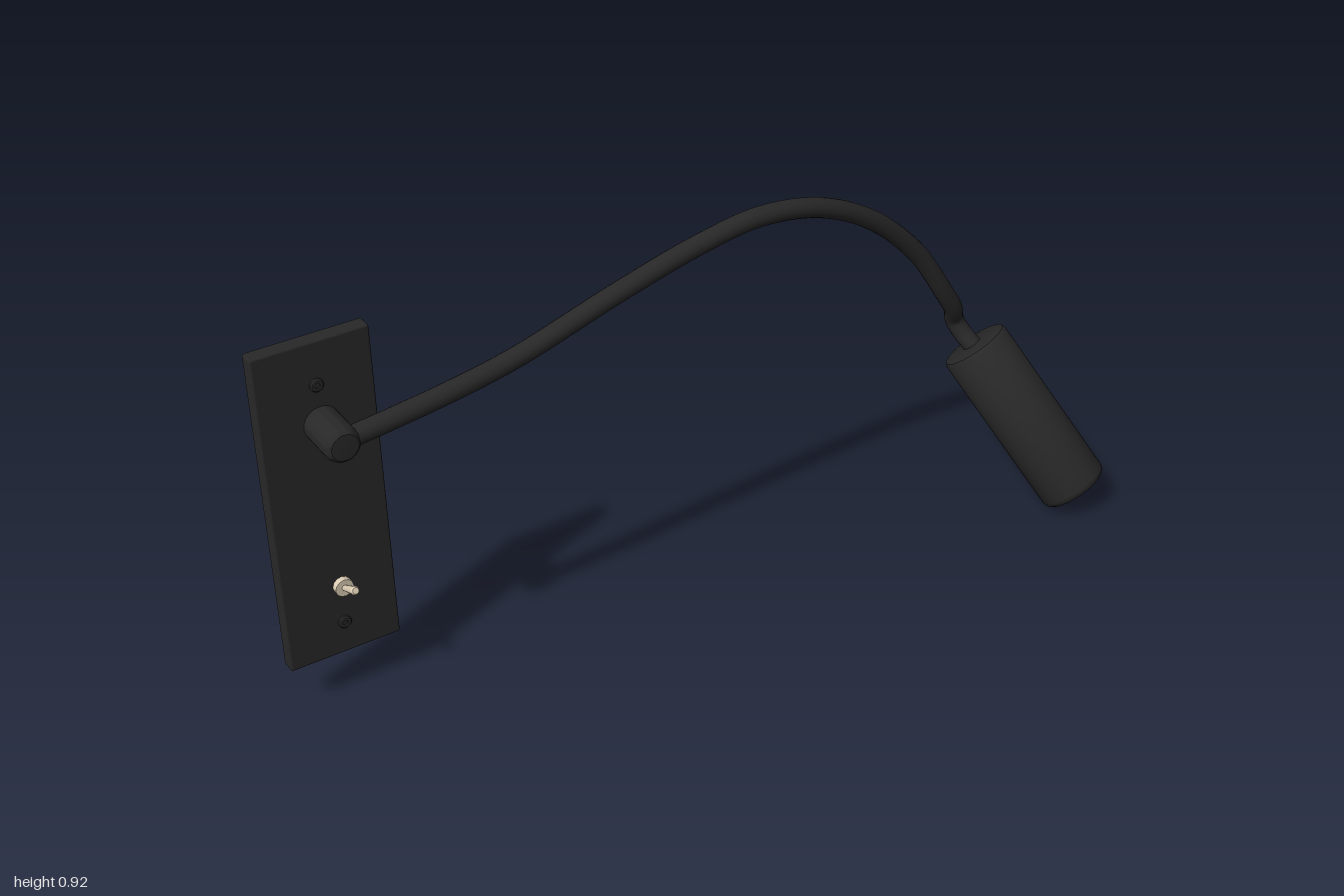
import * as THREE from 'three';
import { RoundedBoxGeometry } from 'three/addons/geometries/RoundedBoxGeometry.js';
import { toCreasedNormals } from 'three/addons/utils/BufferGeometryUtils.js';

const mat = (name, color) => {
  const m = new THREE.MeshStandardMaterial({ color });
  m.name = name;
  return m;
};
const v = (x, y, z) => new THREE.Vector3(x, y, z);

export function createModel() {
  const group = new THREE.Group();
  const black = mat('matte black', 0x282828);
  const metal = mat('warm nickel', 0xdccdb4);
  const glass = mat('lens cream', 0xdccba4);

  const add = (name, geometry, material) => {
    const mesh = new THREE.Mesh(geometry, material);
    mesh.name = name;
    group.add(mesh);
    return mesh;
  };

  // Lathe a profile of [radius, distance] pairs along the line from a towards b
  const turned = (name, profile, a, b, material, sides = 40) => {
    const pts = profile.map(([r, h]) => new THREE.Vector2(r, h));
    const geometry = toCreasedNormals(new THREE.LatheGeometry(pts, sides), 0.6);
    const mesh = add(name, geometry, material);
    mesh.position.copy(a);
    mesh.quaternion.setFromUnitVectors(v(0, 1, 0), b.clone().sub(a).normalize());
    return mesh;
  };

  // Wall plate
  const plate = add('wallPlate', new RoundedBoxGeometry(0.258, 0.777, 0.037, 2, 0.005), black);
  plate.position.set(-0.871, 0.503, -0.2);

  // Plate screws
  for (const y of [0.793, 0.196]) {
    turned('plateScrew', [[0.015, 0], [0.015, 0.007], [0.012, 0.01], [0.006, 0.01], [0.006, 0.006], [0, 0.006]],
      v(-0.868, y, -0.184), v(-0.868, y, 0), black, 20);
  }

  // Post carrying the arm, with a chamfered end
  turned('armPost', [[0.04, 0], [0.04, 0.094], [0.037, 0.104], [0.03, 0.111], [0, 0.113]],
    v(-0.865, 0.7, -0.184), v(-0.865, 0.7, 0), black);

  // Curved gooseneck arm
  const path = new THREE.CatmullRomCurve3([
    v(-0.865, 0.7, -0.1), v(-0.75, 0.713, -0.1), v(-0.6, 0.728, -0.107), v(-0.45, 0.751, -0.115),
    v(-0.2, 0.824, -0.118), v(0, 0.876, -0.118), v(0.16, 0.899, -0.117), v(0.32, 0.875, -0.117),
    v(0.47, 0.8, -0.117), v(0.6, 0.68, -0.115), v(0.69, 0.545, -0.112), v(0.725, 0.49, -0.118),
    v(0.743, 0.45, -0.134), v(0.755, 0.42, -0.124), v(0.777, 0.375, -0.085)
  ]);
  add('gooseneckArm', new THREE.TubeGeometry(path, 160, 0.023, 16), black);

  // Lamp head with rounded rims and a slightly recessed mouth
  const top = v(0.772, 0.39, -0.09), bottom = v(0.922, 0.048, 0.152);
  const len = top.distanceTo(bottom);
  turned('lampHead', [
    [0, 0], [0.074, 0], [0.081, 0.003], [0.085, 0.011], [0.085, len - 0.016],
    [0.082, len - 0.006], [0.075, len], [0.069, len], [0.064, len - 0.004], [0.063, len - 0.025]
  ], top, bottom, black, 48);
  turned('lens', [[0.064, len - 0.01], [0, len - 0.01]], top, bottom, glass, 48);

  // Toggle switch: nut and tilted lever
  const s = v(-0.864, 0.292, -0.184);
  turned('switchNut', [[0.021, 0], [0.021, 0.017], [0, 0.017]], s, v(s.x, s.y, 0), metal, 12);
  turned('switchLever', [[0.006, 0], [0.009, 0.06], [0.01, 0.068], [0.007, 0.074], [0, 0.076]],
    v(s.x, 0.289, -0.174), v(s.x, 0.317, -0.118), metal, 16);

  return group;
}
